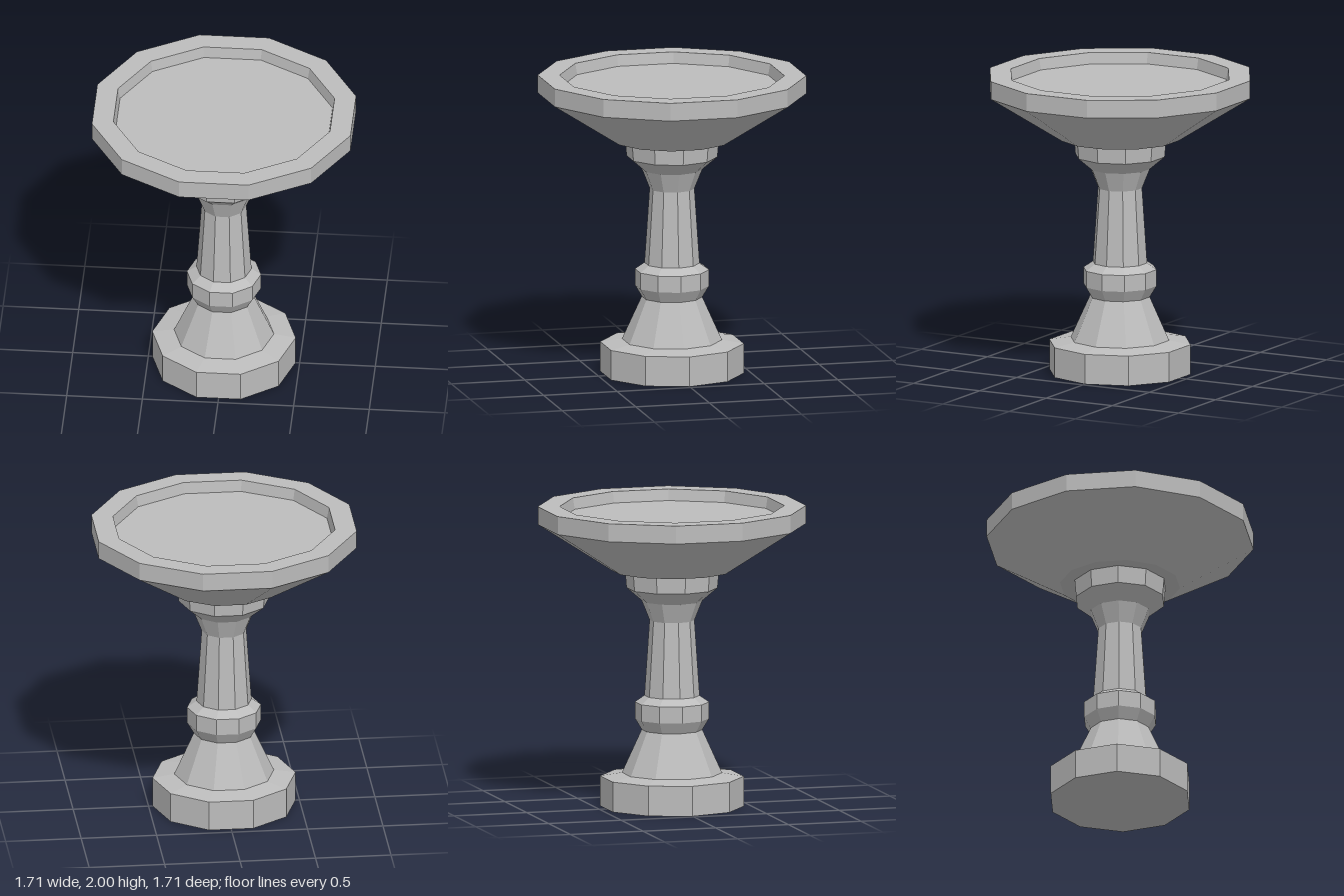
import * as THREE from 'three';

const stone = new THREE.MeshStandardMaterial({ color: 0xbcbcbc });
stone.name = 'greyStone';

// Faceted turned part from [radius, height] pairs, listed from bottom to top
function turned(name, profile, sides, startAngle) {
  const points = profile.map(([r, y]) => new THREE.Vector2(r, y));
  const geometry = new THREE.LatheGeometry(points, sides, startAngle).toNonIndexed();
  geometry.computeVertexNormals();
  const mesh = new THREE.Mesh(geometry, stone);
  mesh.name = name;
  return mesh;
}

export function createModel() {
  const model = new THREE.Group();
  model.name = 'pedestalBasin';

  // Ten-sided pedestal, with corners on the x axis
  const column = (name, profile) => model.add(turned(name, profile, 10, Math.PI / 2));
  column('base', [[0, 0], [0.474, 0], [0.474, 0.2], [0.33, 0.223]]);
  column('flaredFoot', [[0.33, 0.223], [0.2, 0.51]]);
  column('ringMoulding', [[0.2, 0.51], [0.245, 0.585], [0.245, 0.695], [0.182, 0.738]]);
  column('shaft', [[0.182, 0.738], [0.148, 1.24]]);
  column('capital', [[0.148, 1.24], [0.2, 1.37], [0.3, 1.455], [0.31, 1.572]]);

  // Twelve-sided bowl with a flat rim and shallow recess, flats facing the axes
  model.add(turned('bowl', [
    [0, 1.572], [0.398, 1.572], [0.885, 1.88], [0.885, 2],
    [0.741, 2], [0.727, 1.925], [0, 1.925],
  ], 12, Math.PI / 12));

  return model;
}
